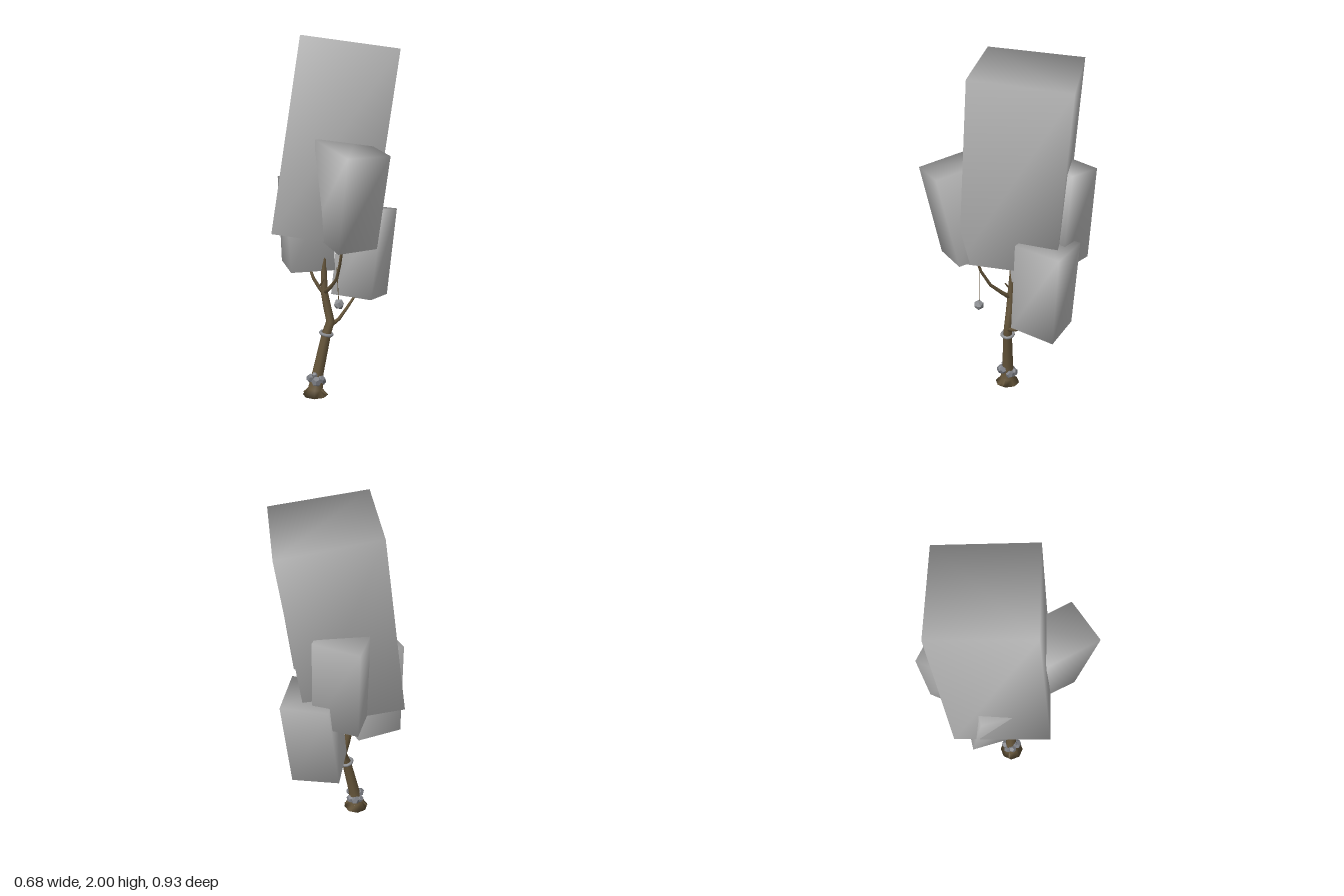
import * as THREE from 'three';

const mat = (name, color) => {
  const m = new THREE.MeshStandardMaterial({ color });
  m.name = name;
  return m;
};

function meshOf(name, geometry, material, parent) {
  const m = new THREE.Mesh(geometry, material);
  m.name = name;
  parent.add(m);
  return m;
}

// Leaf block with shared corners, so shading flows round the edges.
// Each quad runs front-left, front-right, back-right, back-left.
function blockGeometry(bottom, top) {
  const g = new THREE.BufferGeometry();
  g.setAttribute('position', new THREE.Float32BufferAttribute([...bottom, ...top].flat(), 3));
  const index = [4, 5, 6, 4, 6, 7, 0, 2, 1, 0, 3, 2];
  for (let i = 0; i < 4; i++) {
    const j = (i + 1) % 4;
    index.push(i, j, j + 4, i, j + 4, i + 4);
  }
  g.setIndex(index);
  g.computeVertexNormals();
  return g;
}

// Tapered limb through points [x, y, z, radius]
function limbGeometry(points, sides) {
  const centres = points.map(p => new THREE.Vector3(p[0], p[1], p[2]));
  const pos = [], index = [], n = points.length;
  centres.forEach((c, i) => {
    const dir = centres[Math.min(i + 1, n - 1)].clone().sub(centres[Math.max(i - 1, 0)]).normalize();
    const u = new THREE.Vector3(1, 0, 0).addScaledVector(dir, -dir.x).normalize();
    const v = new THREE.Vector3().crossVectors(u, dir);
    for (let s = 0; s < sides; s++) {
      const a = s / sides * Math.PI * 2;
      const p = c.clone().addScaledVector(u, Math.cos(a) * points[i][3]).addScaledVector(v, Math.sin(a) * points[i][3]);
      pos.push(p.x, i === 0 && c.y === 0 ? 0 : p.y, p.z);
    }
  });
  for (let i = 0; i < n - 1; i++) {
    for (let s = 0; s < sides; s++) {
      const t = (s + 1) % sides, a = i * sides + s, b = i * sides + t;
      index.push(a, a + sides, b, b, a + sides, b + sides);
    }
  }
  // End caps
  for (let s = 1; s < sides - 1; s++) {
    const e = (n - 1) * sides;
    index.push(0, s, s + 1, e, e + s + 1, e + s);
  }
  const g = new THREE.BufferGeometry();
  g.setAttribute('position', new THREE.Float32BufferAttribute(pos, 3));
  g.setIndex(index);
  g.computeVertexNormals();
  return g;
}

export function createModel() {
  const tree = new THREE.Group();
  tree.name = 'tree';
  const leaf = mat('leafGrey', 0xbbbbbb);
  const bark = mat('barkBrown', 0x65553a);
  const stone = mat('stoneGrey', 0x7c7e84);
  const metal = mat('ringGrey', 0x8c8e92);

  // Foliage blocks
  const blocks = {
    crown: [
      [[-.33, .975, .235], [.19, .905, .235], [.19, .87, -.285], [-.33, .935, -.285]],
      [[-.18, 2, .14], [.335, 1.93, .145], [.335, 1.88, -.375], [-.18, 1.96, -.375]]],
    frontFoliage: [
      [[.03, .9, .37], [.225, .9, .225], [.06, .96, -.02], [-.13, .96, .11]],
      [[.08, 1.4, .467], [.29, 1.4, .32], [.11, 1.47, .06], [-.1, 1.47, .2]]],
    rightFoliage: [
      [[-.04, .55, -.13], [.19, .54, -.05], [.28, .51, -.29], [.03, .525, -.365]],
      [[.01, 1.06, -.165], [.25, 1.055, -.08], [.333, 1.02, -.32], [.09, 1.03, -.405]]],
    leftFoliage: [
      [[-.25, .715, .04], [-.01, .72, -.02], [-.09, .72, -.25], [-.33, .73, -.19]],
      [[-.27, 1.22, .1], [-.03, 1.23, .04], [-.1, 1.24, -.2], [-.34, 1.23, -.13]]],
    backFoliage: [
      [[-.17, .92, -.19], [.055, .92, -.08], [.165, .89, -.32], [-.06, .89, -.435]],
      [[-.17, 1.44, -.24], [.055, 1.45, -.13], [.165, 1.42, -.36], [-.06, 1.4, -.467]]],
  };
  for (const [name, [bottom, top]] of Object.entries(blocks)) {
    meshOf(name, blockGeometry(bottom, top), leaf, tree);
  }

  // Trunk and branches
  const limbs = {
    trunk: [[-.12, 0, .025, .072], [-.12, .035, .025, .042], [-.105, .13, .02, .032], [-.08, .25, .017, .029],
      [-.057, .36, .013, .026], [-.035, .43, .005, .024], [-.055, .52, 0, .022], [-.07, .6, -.003, .02],
      [-.072, .74, -.01, .015], [-.062, .95, -.012, .011]],
    rightBranch: [[-.035, .405, .005, .014], [.01, .43, -.04, .011], [.055, .48, -.11, .009], [.1, .535, -.18, .007]],
    frontBranch: [[-.07, .595, 0, .014], [-.03, .64, .04, .011], [.005, .7, .1, .009], [.025, .79, .15, .008], [.045, .92, .185, .007]],
    leftBranch: [[-.07, .59, 0, .013], [-.1, .625, -.005, .01], [-.13, .67, -.015, .009], [-.16, .74, -.04, .007]],
    leftTwig: [[-.1, .625, -.005, .006], [-.085, .65, .01, .005], [-.07, .68, .03, .004]],
  };
  for (const [name, points] of Object.entries(limbs)) {
    meshOf(name, limbGeometry(points, name === 'trunk' ? 8 : 6), bark, tree);
  }

  // Root toes round the base
  for (let i = 0; i < 4; i++) {
    const a = i * Math.PI / 2 + .3;
    const toe = limbGeometry([[-.12, .05, .025, .016], [-.12 + Math.cos(a) * .04, .022, .025 + Math.sin(a) * .03, .014],
      [-.12 + Math.cos(a) * .07, .006, .025 + Math.sin(a) * .05, .005]], 5);
    meshOf('root', toe, bark, tree);
  }

  // Ring around the trunk
  const ring = meshOf('trunkRing', new THREE.TorusGeometry(.034, .009, 6, 12), metal, tree);
  ring.position.set(-.058, .36, .013);
  ring.rotation.set(Math.PI / 2, -.22, 0);

  // Rough stones clustered at the foot
  const stones = [[-.11, .09, .058, .03], [-.11, .075, -.012, .028], [-.145, .1, .03, .026], [-.085, .1, .045, .024],
    [-.085, .075, .005, .026], [-.14, .075, .0, .024], [-.12, .125, .045, .018]];
  stones.forEach(([x, y, z, r], i) => {
    const s = meshOf('footStone', new THREE.DodecahedronGeometry(r), stone, tree);
    s.position.set(x, y, z);
    s.rotation.set(i, i * 2, i * .7);
  });

  // Hanging bauble on a string
  const string = meshOf('string', new THREE.CylinderGeometry(.002, .002, .19, 5), bark, tree);
  string.position.set(.015, .685, .16);
  string.rotation.z = .06;
  const bauble = meshOf('bauble', new THREE.IcosahedronGeometry(.03, 0), metal, tree);
  bauble.position.set(.022, .578, .165);
  return tree;
}
